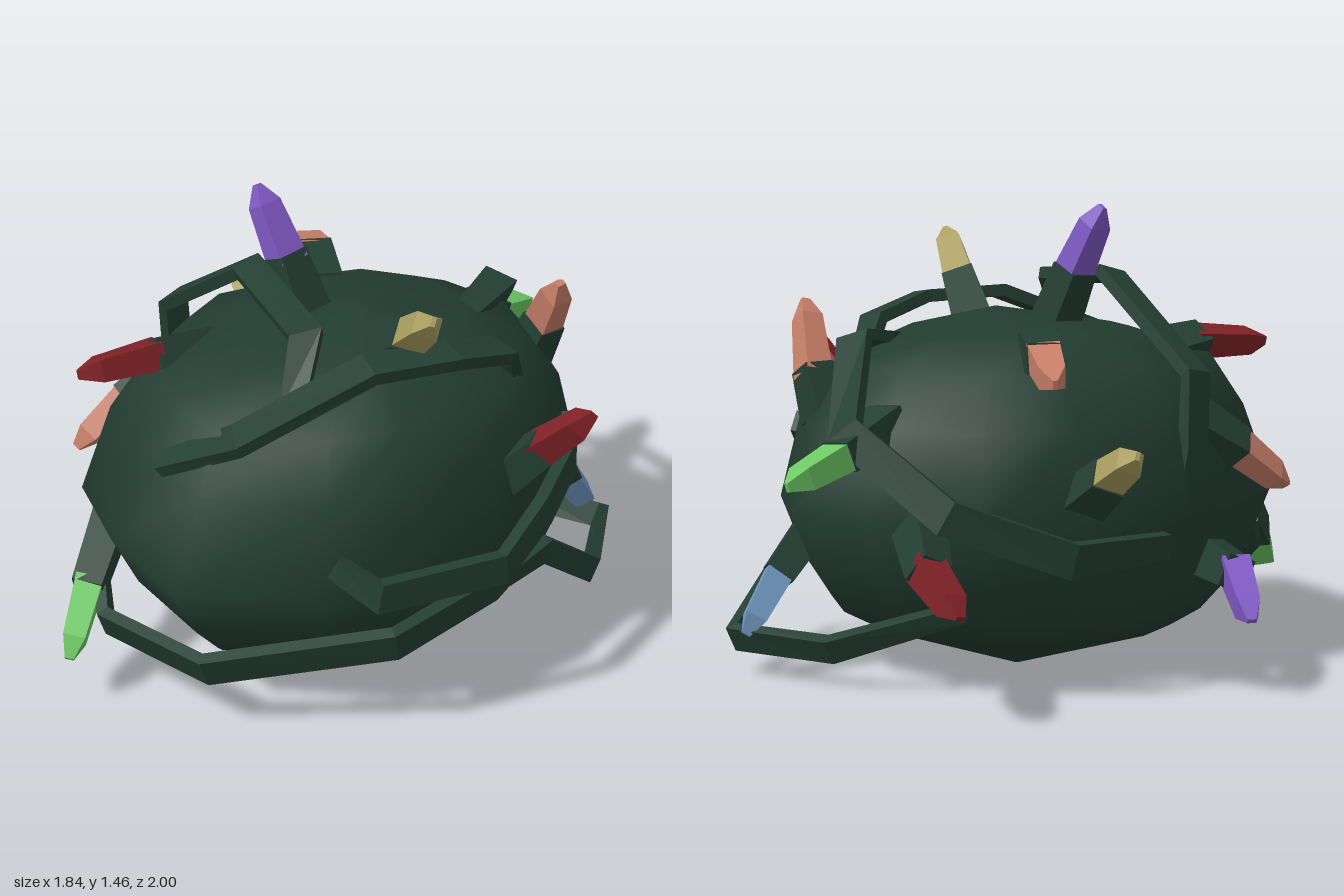
import * as THREE from 'three';

const V = (p) => new THREE.Vector3(...p);
const CORE = [0, 0.55, 0.1];

const mat = (name, color, flat = true) => {
  const m = new THREE.MeshStandardMaterial({ color, flatShading: flat });
  m.name = name;
  return m;
};

// Skin equal-length loops into a closed solid; loops run counter-clockwise about the travel direction
function loft(loops) {
  const n = loops[0].length, pos = [], idx = [];
  loops.forEach((l) => l.forEach((p) => pos.push(p.x, p.y, p.z)));
  for (let k = 0; k < loops.length - 1; k++) {
    for (let i = 0; i < n; i++) {
      const a = k * n + i, b = k * n + (i + 1) % n;
      idx.push(a, b, b + n, a, b + n, a + n);
    }
  }
  const e = (loops.length - 1) * n;
  for (let i = 1; i < n - 1; i++) idx.push(0, i + 1, i, e, e + i, e + i + 1);
  const g = new THREE.BufferGeometry();
  g.setAttribute('position', new THREE.Float32BufferAttribute(pos, 3));
  g.setIndex(idx);
  g.computeVertexNormals();
  return g;
}

// Rectangular loop around c, across the direction t, with its thin side facing away from the core
function rect(c, t, w, h, core = CORE) {
  const out = c.clone().sub(V(core));
  out.addScaledVector(t, -out.dot(t));
  if (out.lengthSq() < 0.002) out.set(0, 1, 0).addScaledVector(t, -t.y);
  const v = out.normalize();
  const u = v.clone().cross(t);
  return [[1, 1], [-1, 1], [-1, -1], [1, -1]].map(([a, b]) =>
    c.clone().addScaledVector(u, a * w).addScaledVector(v, b * h));
}

// Flat strap along a few points, narrowing at both ends
function strap(points, width, core) {
  const p = points.map(V), last = p.length - 1;
  return loft(p.map((c, i) => {
    const t = p[Math.min(i + 1, last)].clone().sub(p[Math.max(i - 1, 0)]).normalize();
    const k = i === 0 || i === last ? 0.7 : 1;
    return rect(c, t, width * k, 0.02, core);
  }));
}

// Squat lopsided body: one plan outline fitted to the extents of each ring
function bodyGeometry() {
  const plan = [
    [-0.03, 0.96], [0.36, 0.78], [0.56, 0.55], [0.68, 0.22], [0.72, -0.1], [0.6, -0.44], [0.39, -0.66],
    [0.08, -0.71], [-0.27, -0.61], [-0.48, -0.37], [-0.68, -0.08], [-0.67, 0.2], [-0.62, 0.6], [-0.37, 0.8],
  ];
  // y, xMin, xMax, zBack, zFront
  const rings = [
    [0, -0.07, -0.05, -0.08, -0.06],
    [0.13, -0.5, 0.42, -0.44, 0.65],
    [0.2, -0.56, 0.57, -0.54, 0.73],
    [0.33, -0.62, 0.65, -0.62, 0.85],
    [0.53, -0.68, 0.72, -0.7, 0.96],
    [0.8, -0.61, 0.66, -0.62, 0.83],
    [0.97, -0.5, 0.57, -0.48, 0.73],
    [1.06, -0.3, 0.36, -0.3, 0.42],
    [1.12, 0.09, 0.11, 0.05, 0.07],
  ];
  return loft(rings.map(([y, x0, x1, z0, z1]) => plan.map(([x, z]) => new THREE.Vector3(
    THREE.MathUtils.mapLinear(x, -0.68, 0.72, x0, x1), y,
    THREE.MathUtils.mapLinear(z, -0.71, 0.96, z0, z1)))));
}

export function createModel() {
  const group = new THREE.Group();
  const bodyMat = mat('body green', 0x223c30, false);
  const vineMat = mat('vine green', 0x243f33);
  const colours = {
    purple: mat('purple', 0x8059c4),
    lime: mat('lime', 0x6cc864),
    red: mat('red', 0x7f2226),
    gold: mat('gold', 0xaa9f60),
    salmon: mat('salmon', 0xc98069),
    blue: mat('blue', 0x7099c2),
  };
  const add = (name, geo, m) => {
    const mesh = new THREE.Mesh(geo, m);
    mesh.name = name;
    group.add(mesh);
  };

  add('body', bodyGeometry(), bodyMat);

  // Vines wrapped around the body: half width, the point they face away from, path
  const vines = {
    frontVine: [0.055, CORE, [[-0.58, 0.5, 0.48], [-0.54, 0.36, 0.64], [-0.38, 0.24, 0.83], [0.02, 0.23, 0.88],
      [0.53, 0.35, 0.62], [0.67, 0.4, 0.25], [0.66, 0.38, 0.08]]],
    leftLowVine: [0.042, CORE, [[0.66, 0.38, 0.2], [0.71, 0.4, 0], [0.78, 0.24, -0.2], [0.59, 0.12, -0.68],
      [0.24, 0.12, -0.66], [-0.16, 0.26, -0.53]]],
    leftVine: [0.05, CORE, [[0.38, 0.63, 0.72], [0.52, 0.56, 0.7], [0.75, 0.55, 0.36], [0.75, 0.61, 0.1],
      [0.72, 0.66, -0.12], [0.66, 0.74, -0.25]]],
    topVine: [0.05, CORE, [[-0.62, 0.55, -0.02], [-0.64, 0.72, 0.02], [-0.63, 0.95, 0.05], [-0.24, 1.23, 0.2],
      [0.11, 1.19, 0.43], [0.15, 1.0, 0.58]]],
    crownVine: [0.055, [0.2, -0.6, 0.2], [[0.53, 0.93, -0.08], [0.54, 1.06, 0], [0.48, 1.12, 0.2],
      [0.32, 1.13, 0.42], [0.06, 0.97, 0.74], [-0.2, 0.82, 0.75]]],
    backVine: [0.055, [0.22, 0.55, 0], [[0.3, 1.02, -0.18], [0.3, 1.05, -0.44], [0.12, 0.81, -0.74],
      [-0.22, 0.58, -0.71], [-0.5, 0.44, -0.46], [-0.64, 0.45, -0.14]]],
  };
  for (const [name, [w, core, pts]] of Object.entries(vines)) add(name, strap(pts, w, core), vineMat);

  // Spikes: colour, root in the body, joint, tip
  const spikes = [
    ['purple', [-0.08, 1.05, 0.11], [-0.17, 1.25, 0.1], [-0.28, 1.45, 0.08]],
    ['gold', [0.2, 1.03, 0.1], [0.37, 1.18, 0.26], [0.52, 1.33, 0.4]],
    ['red', [0.62, 0.7, 0.08], [0.74, 0.83, 0.09], [0.91, 1.0, 0.12]],
    ['salmon', [0.4, 0.8, -0.46], [0.47, 0.95, -0.43], [0.57, 1.15, -0.33]],
    ['blue', [0.45, 0.47, -0.44], [0.5, 0.31, -0.58], [0.53, 0.14, -0.71]],
    ['lime', [0.1, 0.82, -0.54], [0.12, 0.74, -0.77], [0.14, 0.68, -1.0]],
    ['red', [-0.08, 0.53, -0.65], [-0.21, 0.43, -0.79], [-0.4, 0.34, -0.91]],
    ['gold', [-0.46, 0.6, -0.32], [-0.59, 0.69, -0.4], [-0.74, 0.78, -0.5]],
    ['salmon', [-0.18, 1.02, -0.14], [-0.34, 1.02, -0.36], [-0.48, 0.97, -0.53]],
    ['red', [-0.34, 0.97, 0.3], [-0.42, 1.0, 0.48], [-0.55, 0.99, 0.68]],
    ['salmon', [-0.57, 0.78, 0.18], [-0.66, 0.69, 0.3], [-0.75, 0.56, 0.45]],
    ['purple', [-0.58, 0.36, 0.2], [-0.77, 0.34, 0.07], [-0.91, 0.24, -0.1]],
    ['lime', [-0.51, 0.45, 0.6], [-0.46, 0.32, 0.81], [-0.41, 0.18, 0.99]],
  ];
  for (const [colour, root, joint, tip] of spikes) {
    const r = V(root), j = V(joint), e = V(tip);
    const t = j.clone().sub(r).normalize(), d = e.clone().sub(j).normalize();
    add('spikeSocket', loft([rect(r, t, 0.065, 0.055), rect(j, t, 0.052, 0.048)]), vineMat);
    // Blade narrows to a chisel point
    const start = j.clone().addScaledVector(d, -0.03), mid = j.clone().lerp(e, 0.72);
    add('spikeBlade', loft([
      rect(start, d, 0.05, 0.044), rect(mid, d, 0.039, 0.035), rect(e, d, 0.007, 0.014),
    ]), colours[colour]);
  }
  return group;
}
